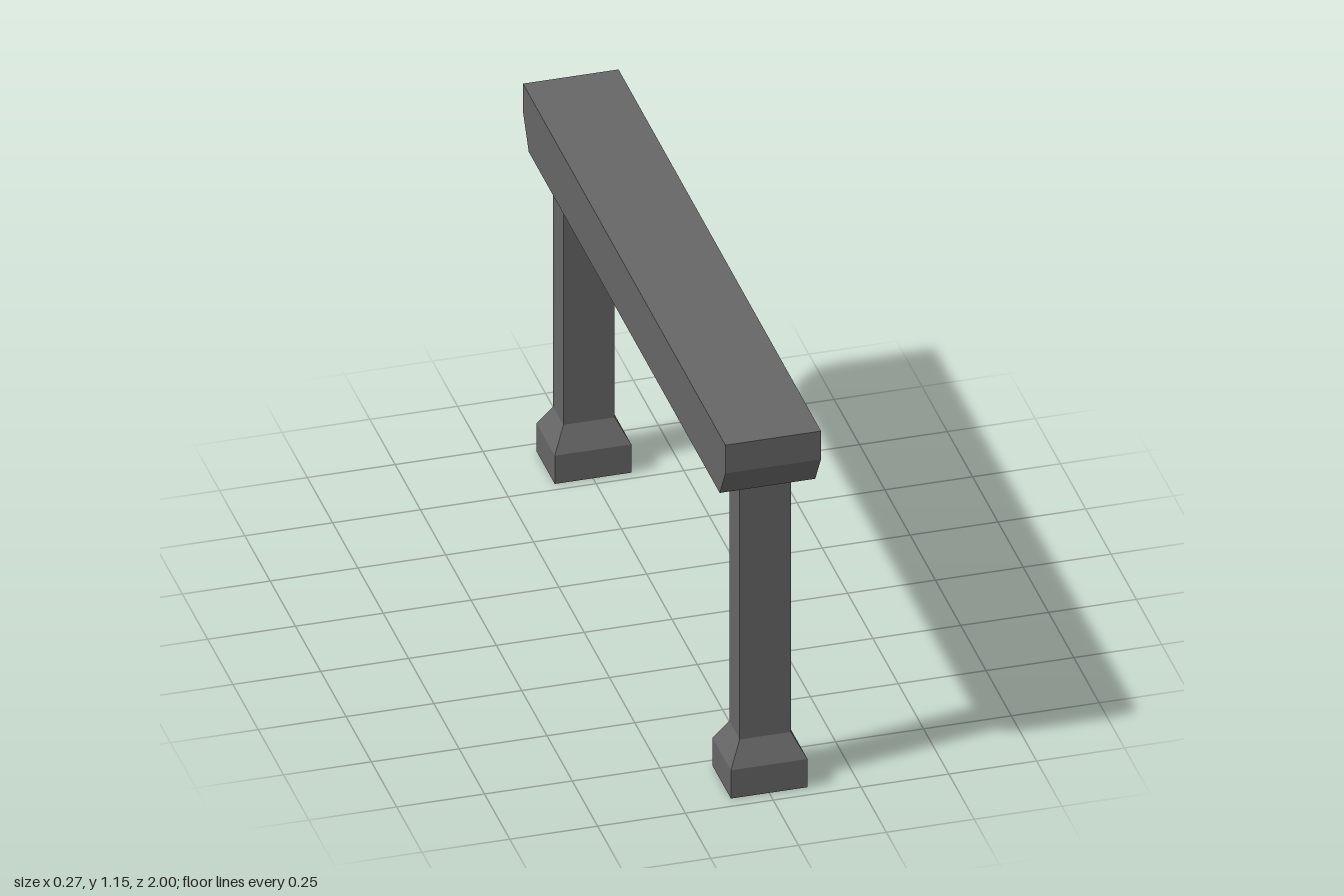
import * as THREE from 'three';

const material = new THREE.MeshStandardMaterial({ color: 0x666666, flatShading: true, side: THREE.DoubleSide });

// Open rectangular tube through sections [y, halfX, halfZ], listed bottom to top
function rectTube(sections) {
  const rings = sections.map(([y, x, z]) => [[x, y, z], [x, y, -z], [-x, y, -z], [-x, y, z]]);
  const pos = [];
  for (let i = 0; i < rings.length - 1; i++) {
    for (let k = 0; k < 4; k++) {
      const n = (k + 1) % 4;
      const a = rings[i][k], b = rings[i][n], c = rings[i + 1][n], d = rings[i + 1][k];
      pos.push(...a, ...b, ...c, ...a, ...c, ...d);
    }
  }
  const geo = new THREE.BufferGeometry();
  geo.setAttribute('position', new THREE.Float32BufferAttribute(pos, 3));
  geo.computeVertexNormals();
  return geo;
}

export function createModel() {
  const group = new THREE.Group();

  // Top beam: side profile with chamfered lower ends, extruded across the width
  const width = 0.272;
  const profile = new THREE.Shape([
    [-0.943, 0.97], [0.943, 0.97], [1, 1.065], [1, 1.155], [-1, 1.155], [-1, 1.065],
  ].map(([z, y]) => new THREE.Vector2(z, y)));
  const beamGeo = new THREE.ExtrudeGeometry(profile, { depth: width, bevelEnabled: false });
  beamGeo.translate(0, 0, -width / 2).rotateY(-Math.PI / 2);
  const beam = new THREE.Mesh(beamGeo, material);
  beam.name = 'beam';
  group.add(beam);

  // Two hollow posts with flared feet, open underneath
  const postGeo = rectTube([
    [0, 0.109, 0.09],
    [0.09, 0.109, 0.09],
    [0.16, 0.073, 0.051],
    [0.97, 0.073, 0.051],
  ]);
  for (const [name, z] of [['frontPost', 0.87], ['backPost', -0.87]]) {
    const post = new THREE.Mesh(postGeo, material);
    post.name = name;
    post.position.z = z;
    group.add(post);
  }

  return group;
}
